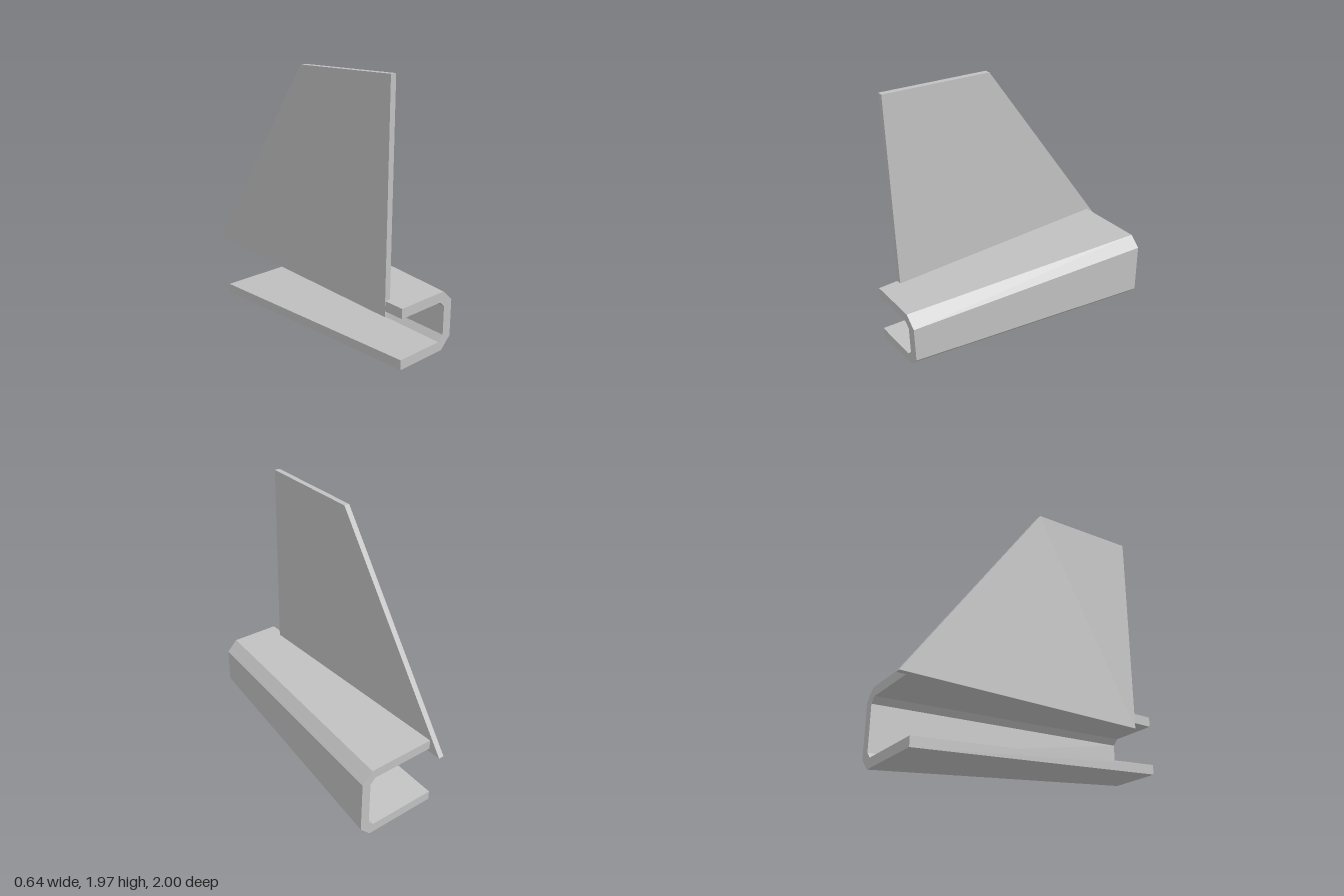
import * as THREE from 'three';

// C-shaped cross-section, open on the right side (-x), counterclockwise
function channelSection({ x, bottom, top, wall, cut, innerCut }) {
  const open = -0.32;
  const ix = x - wall, ib = bottom + wall, it = top - wall;
  return [
    [open, bottom], [x - cut, bottom], [x, bottom + cut],
    [x, top - cut], [x - cut, top], [open, top],
    [open, it], [ix - innerCut, it], [ix, it - innerCut],
    [ix, ib + innerCut], [ix - innerCut, ib], [open, ib],
  ].map(([px, py]) => new THREE.Vector2(px, py));
}

// Flat-faced solid between two matching sections
function loft(front, zFront, back, zBack) {
  const pos = [];
  const put = (p, z) => pos.push(p.x, p.y, z);
  front.forEach((a, i) => {
    const j = (i + 1) % front.length;
    put(a, zFront); put(back[i], zBack); put(back[j], zBack);
    put(a, zFront); put(back[j], zBack); put(front[j], zFront);
  });
  for (const [a, b, c] of THREE.ShapeUtils.triangulateShape(front, [])) {
    [a, b, c].forEach((k) => put(front[k], zFront));
    [a, c, b].forEach((k) => put(back[k], zBack));
  }
  const g = new THREE.BufferGeometry();
  g.setAttribute('position', new THREE.Float32BufferAttribute(pos, 3));
  g.computeVertexNormals();
  return g;
}

export function createModel() {
  const model = new THREE.Group();
  model.name = 'finnedChannel';
  const grey = new THREE.MeshStandardMaterial({ color: 0xc0c0c0 });
  grey.name = 'light grey';

  // Channel that widens and deepens towards the back
  const front = channelSection({ x: 0.137, bottom: 0.14, top: 0.56, wall: 0.069, cut: 0.08, innerCut: 0.04 });
  const back = channelSection({ x: 0.317, bottom: 0, top: 0.545, wall: 0.069, cut: 0.08, innerCut: 0.04 });
  const channel = new THREE.Mesh(loft(front, 1, back, -0.905), grey);
  channel.name = 'channel';
  model.add(channel);

  // Upright fin, outlined as (-z, y) and turned to lie along z
  const outline = [[-0.855, 0.45], [1, 0.45], [-0.05, 1.93], [-0.86, 1.965]];
  const shape = new THREE.Shape(outline.map(([u, v]) => new THREE.Vector2(u, v)));
  const finGeometry = new THREE.ExtrudeGeometry(shape, { depth: 0.042, bevelEnabled: false });
  finGeometry.rotateY(Math.PI / 2).translate(-0.322, 0, 0);
  const fin = new THREE.Mesh(finGeometry, grey);
  fin.name = 'fin';
  model.add(fin);

  return model;
}
